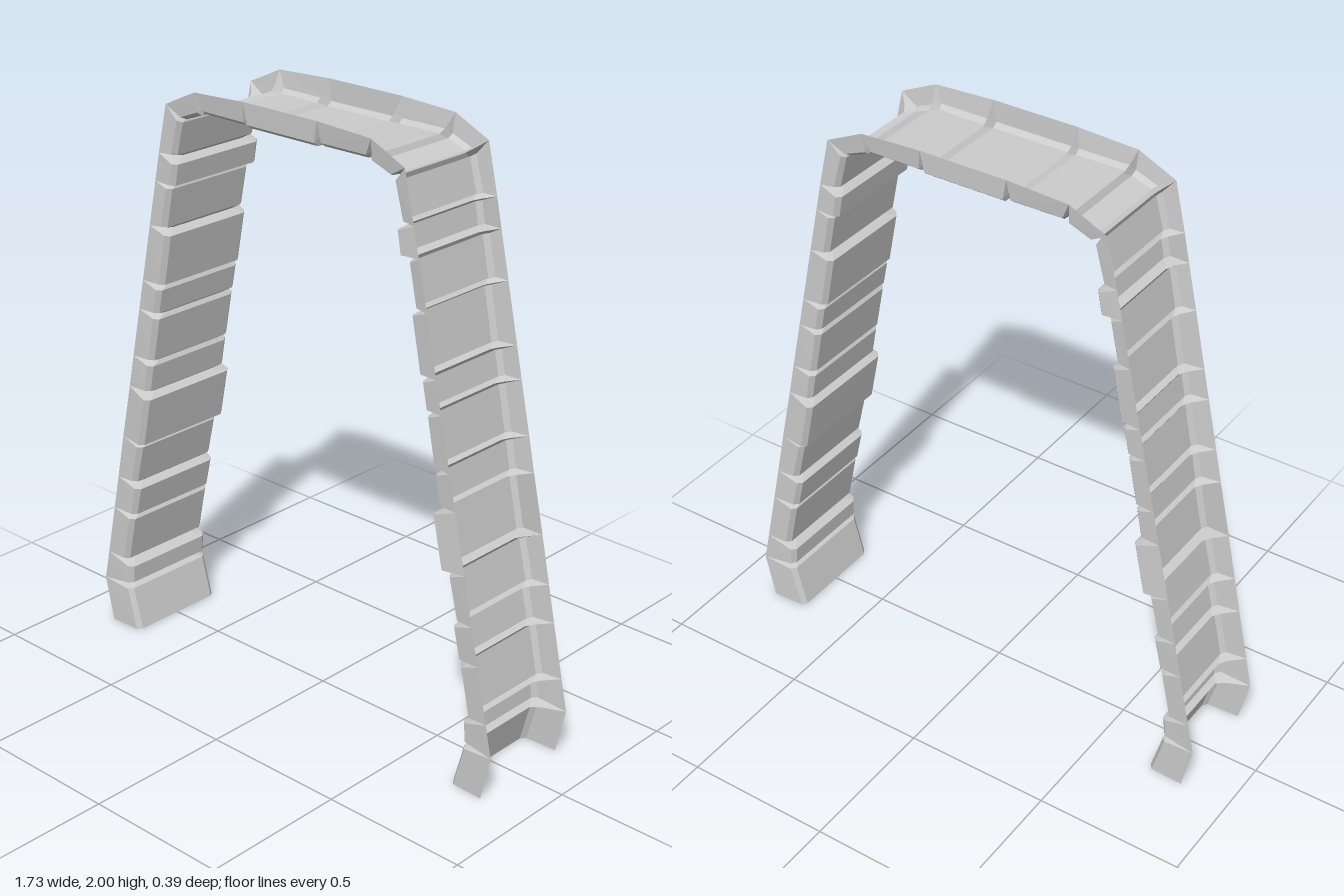
import * as THREE from 'three';

const V = (x, y) => new THREE.Vector2(x, y);

// Outer rim joints of one half, from the foot to the crown
const half = [
  [0.83, 0], [0.865, 0.155], [0.842, 0.263], [0.803, 0.447], [0.777, 0.572],
  [0.744, 0.732], [0.702, 0.927], [0.678, 1.043], [0.641, 1.217], [0.619, 1.322],
  [0.578, 1.517], [0.545, 1.672], [0.525, 1.767], [0.488, 1.93], [0.36, 1.99], [0.15, 2.0],
];
// Channel depth at both ends of each plate, and plate half width
const plates = [
  [0.125, 0.118, 0.182], [0.118, 0.107, 0.18], [0.083, 0.083, 0.182], [0.088, 0.09, 0.18],
  [0.073, 0.077, 0.182], [0.094, 0.092, 0.195], [0.076, 0.074, 0.18], [0.075, 0.072, 0.18],
  [0.071, 0.07, 0.182], [0.078, 0.075, 0.18], [0.056, 0.055, 0.18], [0.077, 0.075, 0.19],
  [0.058, 0.068, 0.18], [0.073, 0.073, 0.18], [0.07, 0.078, 0.18], [0.082, 0.082, 0.185],
];

// Six-point channel section: rim, wall foot, floor edge, then mirrored
const mirrorSection = (s) => [...s, ...s.slice().reverse().map(([z, d]) => [-z, d])];
const plateSection = (w, d) => mirrorSection([[0.187, 0], [w, d - 0.013], [w - 0.017, d]]);
const ribSection = (d) => mirrorSection([[0.187, 0], [0.155, d * 0.72], [0.132, d]]);

// Sections placed in space: p = rim point, n = inward direction, shift = slide of the deep points
function placeRing(section, p, n, shift) {
  return section.map(([z, d]) => {
    const k = d > 0 ? 1 : 0;
    return new THREE.Vector3(p.x + n.x * d + shift.x * k, p.y + n.y * d + shift.y * k, z);
  });
}

function skin(rings) {
  const pos = [];
  const tri = (...pts) => pts.forEach((v) => pos.push(v.x, v.y, v.z));
  for (let i = 0; i + 1 < rings.length; i++) {
    for (let j = 0; j < 5; j++) {
      const [a, b, c, d] = [rings[i][j], rings[i][j + 1], rings[i + 1][j + 1], rings[i + 1][j]];
      if (a.distanceTo(d) > 1e-5) tri(a, c, d);
      if (b.distanceTo(c) > 1e-5) tri(a, b, c);
    }
  }
  const g = new THREE.BufferGeometry();
  g.setAttribute('position', new THREE.Float32BufferAttribute(pos, 3));
  g.computeVertexNormals();
  return g;
}

export function createModel() {
  const group = new THREE.Group();
  group.name = 'arch';
  const material = new THREE.MeshStandardMaterial({
    color: 0xcccccc, flatShading: true, side: THREE.DoubleSide,
  });

  // Whole path: up the left leg, over the crown, down the right leg
  const path = half.map(([x, y]) => V(x, y));
  path.push(...half.slice().reverse().map(([x, y]) => V(-x, y)));
  const segs = [...plates, ...plates.slice(0, -1).reverse().map(([a, b, w]) => [b, a, w])];
  const last = path.length - 1;

  const dirs = segs.map((s, i) => path[i + 1].clone().sub(path[i]).normalize());
  const inward = path.map((p, i) => {
    if (i === 0) return V(-1, 0);
    if (i === last) return V(1, 0);
    const t = dirs[i - 1].clone().add(dirs[i]).normalize();
    return V(-t.y, t.x);
  });

  segs.forEach(([d0, d1, w], i) => {
    const rings = [];
    // Raised rib at a joint, shared with the neighbouring plate
    const rib = (j) => {
      const depth = Math.min(segs[j - 1][1], segs[j][0]) * 0.85;
      return placeRing(ribSection(depth), path[j], inward[j], V(0, 0));
    };
    const gap = (j) => (j === 0 || j === last ? 0 : 0.012);
    if (i > 0) rings.push(rib(i));
    rings.push(placeRing(plateSection(w, d0), path[i], inward[i],
      dirs[i].clone().multiplyScalar(gap(i))));
    rings.push(placeRing(plateSection(w, d1), path[i + 1], inward[i + 1],
      dirs[i].clone().multiplyScalar(-gap(i + 1))));
    if (i + 1 < last) rings.push(rib(i + 1));

    const mesh = new THREE.Mesh(skin(rings), material);
    const mid = (path[i].x + path[i + 1].x) / 2;
    const side = mid > 0.01 ? 'left' : 'right';
    const k = Math.min(i, segs.length - 1 - i);
    mesh.name = k === 15 ? 'crownPlate' : k === 0 ? side + 'Foot'
      : side + (k > 12 ? 'TopPlate' : 'LegPlate') + k;
    group.add(mesh);
  });
  return group;
}
